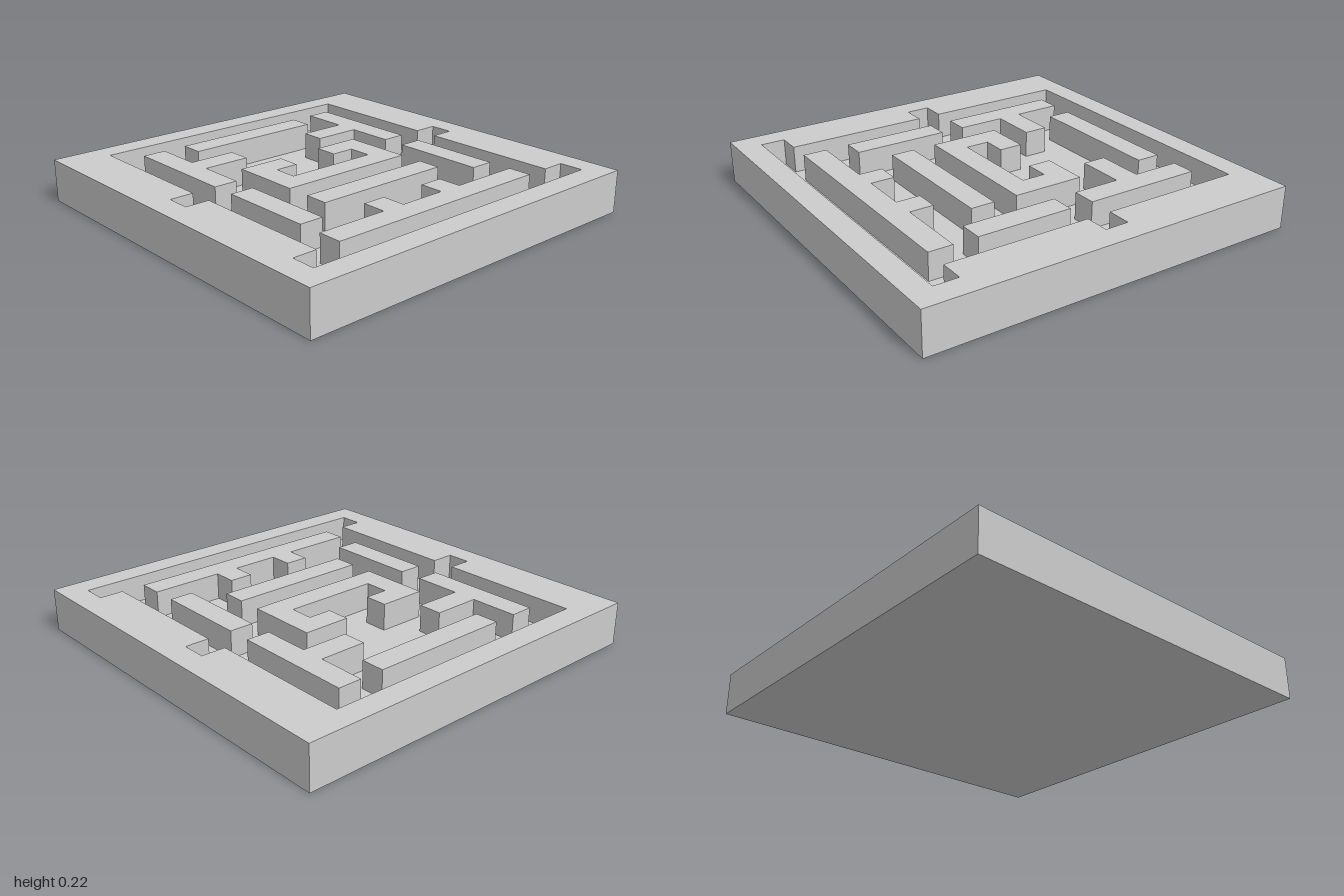
import * as THREE from 'three';

const CELL = 0.125; // layout is drawn on a grid of 16 x 16 cells
const TOP = 0.222; // overall height
const FLOOR = 0.082; // height of the maze floor

const material = new THREE.MeshStandardMaterial({ color: 0xcccccc, flatShading: true });

// grid points [x, z] in cells -> vectors in units
const toPoints = (cells) => cells.map(([x, z]) => new THREE.Vector2(x * CELL, z * CELL));
const mirror = (cells) => cells.map(([x, z]) => [-x, z]).reverse();
// closes a half outline, drawn on the +x side, into a symmetric one
const symmetric = (half) => [...half, ...mirror(half)];
const rect = (x0, x1, z0, z1) => [[x0, z0], [x1, z0], [x1, z1], [x0, z1]];

// wall standing on the floor, from its plan outline
function wall(name, outline, hole) {
  const shape = new THREE.Shape(toPoints(outline));
  if (hole) shape.holes.push(new THREE.Path(toPoints(hole)));
  const geometry = new THREE.ExtrudeGeometry(shape, { depth: TOP - FLOOR, bevelEnabled: false });
  geometry.rotateX(Math.PI / 2); // plan y becomes z, extrusion runs down
  geometry.translate(0, TOP, 0);
  const mesh = new THREE.Mesh(geometry, material);
  mesh.name = name;
  return mesh;
}

export function createModel() {
  const model = new THREE.Group();
  model.name = 'mazeTile';

  // base slab carrying the floor
  const base = new THREE.Mesh(new THREE.BoxGeometry(2, FLOOR, 2), material);
  base.name = 'base';
  base.position.y = FLOOR / 2;
  model.add(base);

  // outer rim with side niches
  const cavity = symmetric([
    [6, -7], [6, -1], [7, -1], [7, 0], [6, 0], [6, 6], [7, 6], [7, 7],
  ]);
  model.add(wall('outerRim', rect(-8, 8, -8, 8), cavity));

  // straight bars and centred walls
  model.add(wall('backBar', rect(-3, 3, -6, -5)));
  model.add(wall('middleBar', rect(-3, 3, 2, 3)));
  model.add(wall('centreEnclosure', symmetric([
    [2, 0], [2, -1], [1, -1], [1, -2], [3, -2], [3, 1],
  ])));
  model.add(wall('frontWall', symmetric([
    [1, 5], [1, 4], [2, 4], [2, 5], [5, 5], [5, 6],
  ])));

  // mirrored side walls
  const hooked = [[4, -6], [5, -6], [5, -1], [4, -1], [4, -3], [2, -3], [2, -4], [4, -4]];
  const straight = rect(4, 5, 0, 4);
  for (const [side, place] of [['left', (c) => c], ['right', mirror]]) {
    model.add(wall(side + 'HookedWall', place(hooked)));
    model.add(wall(side + 'StraightWall', place(straight)));
  }
  return model;
}
